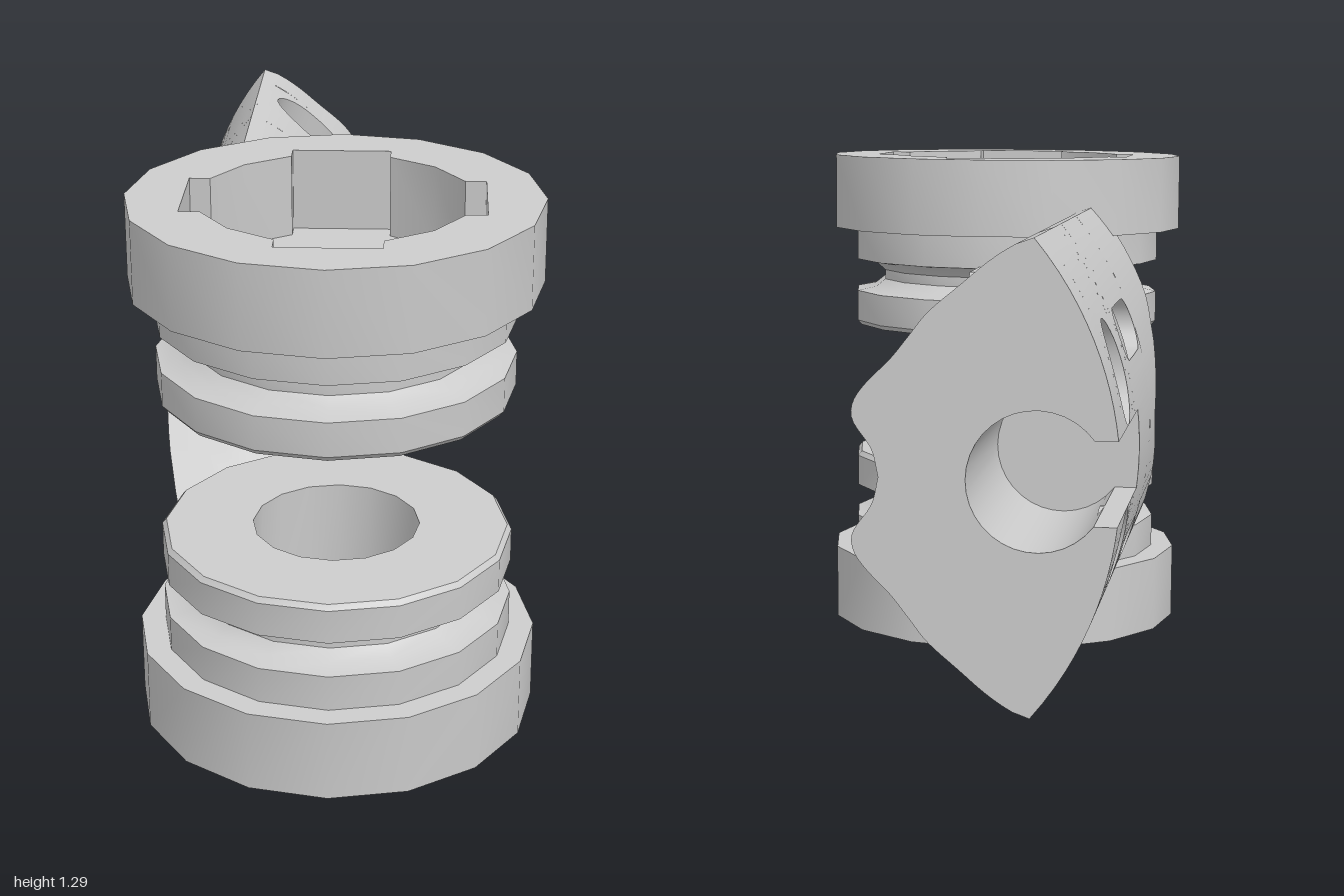
import * as THREE from 'three';
import { toCreasedNormals } from 'three/addons/utils/BufferGeometryUtils.js';

const V = (x, y, z) => new THREE.Vector3(x, y, z);
const lerp = THREE.MathUtils.lerp;
const range = (a, b, n) => Array.from({ length: n + 1 }, (_, i) => lerp(a, b, i / n));

// Smooth curve through [y, x] points
function spline(p, y) {
  let i = 0;
  while (i < p.length - 2 && y > p[i + 1][0]) i++;
  const slope = k => {
    const a = p[Math.max(k - 1, 0)], b = p[Math.min(k + 1, p.length - 1)];
    return (b[1] - a[1]) / (b[0] - a[0]);
  };
  const h = p[i + 1][0] - p[i][0], t = (y - p[i][0]) / h, t2 = t * t, t3 = t2 * t;
  return (2 * t3 - 3 * t2 + 1) * p[i][1] + (t3 - 2 * t2 + t) * h * slope(i)
    + (3 * t2 - 2 * t3) * p[i + 1][1] + (t3 - t2) * h * slope(i + 1);
}

// Arm cross-section, upper half: outer arc, plain side, ribbed side
const TIP = 0.507, REAR = -1.488, STEP = -1.02, SLIT = 0.09;
const shoulder = [[0.35, -0.05], [0.41, -0.12], [0.46, -0.18], [0.495, -0.235], [TIP, -0.27]];
const plain = [[0.25, 0.01], ...shoulder];
const ribbed = [[0, 0.055], [0.06, 0.07], [0.12, 0.11], [0.16, 0.108], [0.2, 0.08], [0.25, 0.03], [0.3, -0.01], ...shoulder];
const outerX = y => 0.332 - Math.sqrt(0.787 * 0.787 - y * y);
const ribX = y => spline(ribbed, y);
const sideX = y => {
  if (y >= 0.25) return spline(plain, y);
  if (y >= 0.175) return lerp(-0.06, 0.01, (y - 0.175) / 0.075);
  return -0.02 - 0.04 * (y / 0.175) ** 2;
};
// Front end: V notch, limited by the ring it runs into
const frontZ = (x, y) => Math.min(-0.548 + Math.max(0, y - 0.02) * 1.1, -Math.sqrt(Math.max(0.13 - x * x, 0.065)));

function armGeometry() {
  const pos = [];
  // Every face is added together with its mirror image in y
  const put = (pts, flip) => {
    const quad = pts.length === 4;
    for (const m of [1, -1]) {
      const order = (m > 0) !== flip ? (quad ? [0, 1, 2, 0, 2, 3] : [0, 1, 2]) : (quad ? [0, 2, 1, 0, 3, 2] : [0, 2, 1]);
      for (const i of order) pos.push(pts[i].x, m * pts[i].y, pts[i].z);
    }
  };
  const grid = (f, us, vs, flip = false) => {
    for (let i = 0; i < us.length - 1; i++)
      for (let j = 0; j < vs.length - 1; j++)
        put([f(us[i], vs[j]), f(us[i + 1], vs[j]), f(us[i + 1], vs[j + 1]), f(us[i], vs[j + 1])], flip);
  };
  // Rectangular panel with a round or long hole and a blind tunnel behind it
  const holed = (f, [y0, y1, z0, z1], [cy, cz, ry, rz, straight], dir, flip) => {
    const point = (r, i) => {
      const a = i / 32 * Math.PI * 2, c = Math.cos(a), s = Math.sin(a), q = 1 / Math.max(Math.abs(c), Math.abs(s));
      const iy = ry * c, iz = straight * Math.sign(Math.round(9 * s)) + rz * s;
      if (r <= 1) return f(cy + iy * r, cz + iz * r);
      return f(lerp(cy + iy, (y0 + y1) / 2 + (y1 - y0) / 2 * c * q, r - 1),
        lerp(cz + iz, (z0 + z1) / 2 + (z1 - z0) / 2 * s * q, r - 1));
    };
    const turn = range(0, 32, 32);
    grid(point, [1, 1.33, 1.67, 2], turn, flip);
    grid((d, i) => point(1, i).addScaledVector(dir, d), [0, 1], turn, !flip);
    grid((r, i) => point(r, i).add(dir), [0, 1], turn, flip);
  };

  const outer = (y, z) => V(outerX(y), y, z);
  const rib = (y, z) => V(ribX(y), y, z);
  const rows = [0, 0.02, 0.06, 0.1, 0.14, 0.175, 0.25, ...range(0.28, 0.46, 6), 0.48, 0.495, TIP];

  // Outer face with cross holes and long slots
  const full = range(SLIT, TIP, 12);
  grid(outer, full, [REAR, -1.37], true);
  holed(outer, [SLIT, 0.34, -1.37, -1.14], [0.205, -1.255, 0.115, 0.09, 0], V(0.06, 0, 0), true);
  grid(outer, range(0.34, TIP, 5), [-1.37, -1.14], true);
  grid(outer, full, [-1.14, -1.09], true);
  grid(outer, range(SLIT, 0.17, 3), [-1.09, -0.72], true);
  holed(outer, [0.17, 0.35, -1.09, -0.72], [0.26, -0.905, 0.06, 0.06, 0.105], V(0.12, 0, 0), true);
  grid(outer, range(0.35, TIP, 5), [-1.09, -0.72], true);
  grid(outer, range(0, SLIT, 3), [STEP, -0.72], true);
  grid((y, t) => V(outerX(y), y, lerp(-0.72, frontZ(outerX(y), y), t)), rows, [0, 1], true);

  // Ribbed rear side with the drilled holes
  grid(rib, range(0, TIP, 40), [REAR, -1.37]);
  grid(rib, range(0, 0.335, 26), [-1.37, -1.14]);
  holed(rib, [0.335, 0.495, -1.37, -1.14], [0.415, -1.255, 0.07, 0.09, 0], V(-0.1, -0.24, 0), false);
  grid(rib, [0.495, TIP], [-1.37, -1.14]);
  grid(rib, range(0, TIP, 40), [-1.14, STEP]);
  grid((y, s) => V(lerp(sideX(y), ribX(y), s), y, STEP), [...range(0, 0.175, 14), ...range(0.19, 0.35, 10)], [0, 1], true);

  // Recessed front side, notched front end and the wall closing the bore
  grid((y, t) => V(sideX(y), y, lerp(STEP, frontZ(sideX(y), y), t)), rows, [0, 1]);
  grid((y, s) => {
    const x = lerp(outerX(y), sideX(y), s);
    return V(x, y, frontZ(x, y));
  }, rows, range(0, 1, 8), true);
  grid((y, s) => V(lerp(outerX(y), sideX(y), s), y, STEP), rows, [0, 1]);

  // Bore open to the outer face through a slit
  const bore = [new THREE.Vector2(outerX(SLIT), SLIT),
    ...range(Math.PI - Math.asin(0.6), 0, 14).map(a => new THREE.Vector2(-0.28 + 0.15 * Math.cos(a), 0.15 * Math.sin(a)))];
  grid((i, z) => V(bore[i].x, bore[i].y, z), range(0, 15, 15), [REAR, STEP]);

  // Rear end face
  const contour = [...full.slice(1).map(y => new THREE.Vector2(outerX(y), y)),
    ...range(TIP, 0, 40).slice(1).map(y => new THREE.Vector2(ribX(y), y)), ...bore.slice().reverse()];
  for (const t of THREE.ShapeUtils.triangulateShape(contour, [])) {
    const p = t.map(i => contour[i]);
    put(p.map(v => V(v.x, v.y, REAR)), THREE.ShapeUtils.area(p) > 0);
  }

  const g = new THREE.BufferGeometry();
  g.setAttribute('position', new THREE.Float32BufferAttribute(pos, 3));
  return toCreasedNormals(g, 0.5);
}

// Collar with a four-slot socket
function collarGeometry() {
  const polar = (r, a) => new THREE.Vector2(r * Math.cos(a), r * Math.sin(a));
  const shape = new THREE.Shape(range(0, 15, 15).map(i => polar(0.468, i * Math.PI / 8)));
  const socket = [];
  for (let k = 0; k < 4; k++) {
    const quarter = [new THREE.Vector2(0.335, -0.115), new THREE.Vector2(0.335, 0.115),
      polar(0.31, 0.38), polar(0.31, Math.PI / 4), polar(0.31, Math.PI / 2 - 0.38)];
    socket.push(...quarter.map(p => p.rotateAround(new THREE.Vector2(), k * Math.PI / 2)));
  }
  shape.holes.push(new THREE.Path(socket));
  const g = new THREE.ExtrudeGeometry(shape, { depth: 0.193, bevelEnabled: false });
  return toCreasedNormals(g.rotateX(-Math.PI / 2).translate(0, 0.435, 0), 0.42);
}

export function createModel() {
  const material = new THREE.MeshStandardMaterial({ color: 0xcccccc });
  const armMaterial = new THREE.MeshStandardMaterial({ color: 0xcccccc, side: THREE.DoubleSide });
  const model = new THREE.Group();
  model.name = 'clampArmWithRings';
  const add = (parent, name, geometry, mat = material) => {
    const mesh = new THREE.Mesh(geometry, mat);
    mesh.name = name;
    parent.add(mesh);
  };

  add(model, 'arm', armGeometry(), armMaterial);

  // Grooved ring body
  const profile = [[0.195, 0.173], [0.4, 0.173], [0.41, 0.185], [0.41, 0.265], [0.36, 0.275], [0.335, 0.295],
    [0.335, 0.32], [0.36, 0.342], [0.41, 0.35], [0.41, 0.435], [0.195, 0.435], [0.195, 0.173]];
  const body = toCreasedNormals(new THREE.LatheGeometry(profile.map(p => new THREE.Vector2(...p)), 16), 0.6);
  const collar = collarGeometry();

  // Tab that fills the groove beside the arm
  const tabShape = new THREE.Shape([[0.33, 0.27], [0.61, 0.27], [0.565, 0.355], [0.33, 0.355]].map(p => new THREE.Vector2(...p)));
  const tab = new THREE.ExtrudeGeometry(tabShape, { depth: 0.13, bevelEnabled: false }).rotateY(Math.PI / 2).translate(-0.12, 0, 0);

  for (const side of [1, -1]) {
    const ring = new THREE.Group();
    ring.name = side > 0 ? 'upperRing' : 'lowerRing';
    ring.scale.y = side;
    add(ring, 'groovedBody', body);
    add(ring, 'socketCollar', collar);
    add(ring, 'grooveTab', tab);
    model.add(ring);
  }

  // Slight tilt of the whole part
  model.rotation.x = 0.038;
  model.position.set(0, 0.648, 0.508);
  const root = new THREE.Group();
  root.name = 'model';
  root.add(model);
  return root;
}
